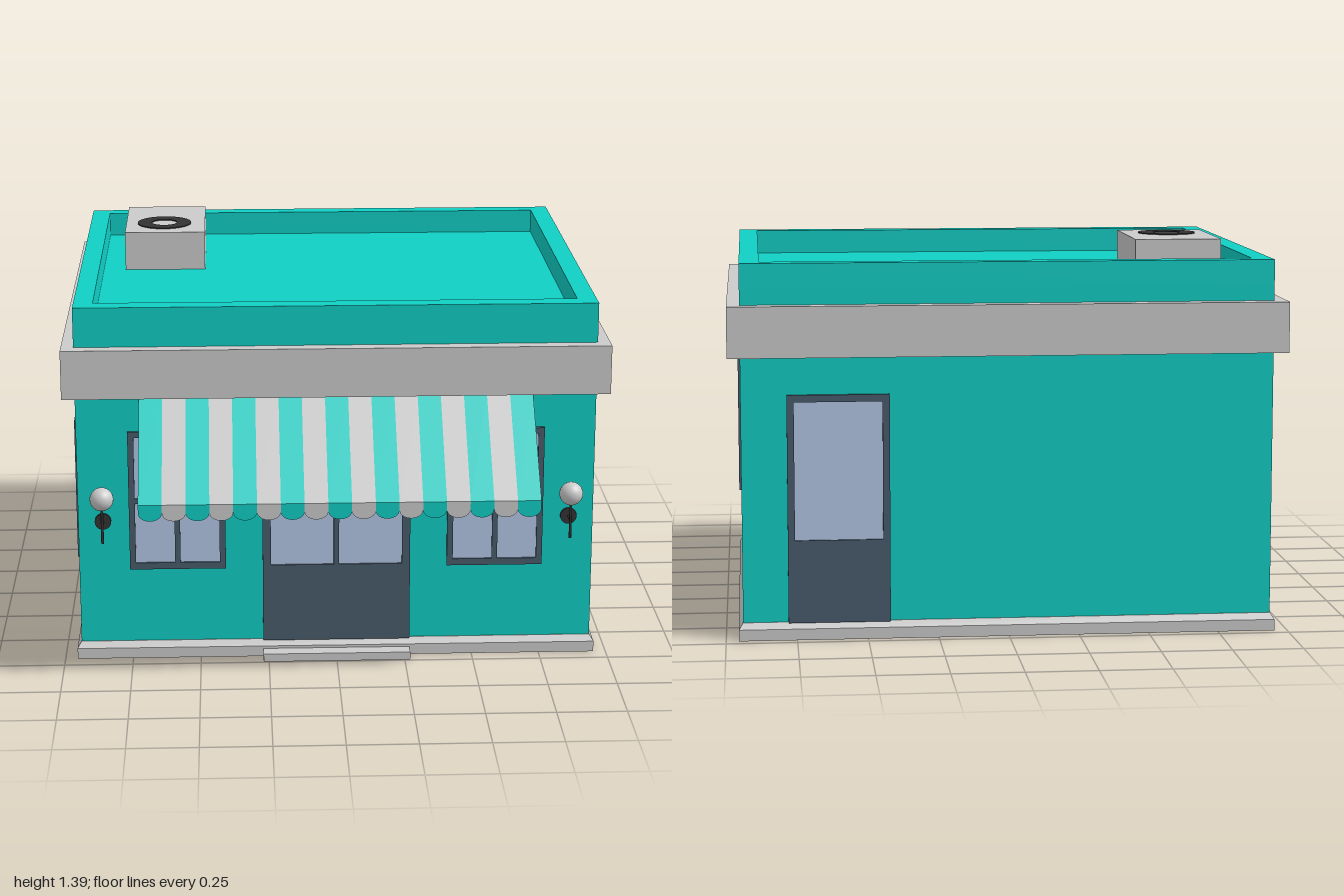
import * as THREE from 'three';

const mat = (color, extra = {}) => new THREE.MeshStandardMaterial({ color, ...extra });
const teal = mat(0x10cfc5);
const grey = mat(0xcccccc);
const frameMat = mat(0x485c6c);
const glassMat = mat(0xb4c8e8);
const black = mat(0x333333);
const clothTeal = mat(0x10cfc5, { side: THREE.DoubleSide });
const clothGrey = mat(0xcccccc, { side: THREE.DoubleSide });

function add(parent, name, geometry, material, x = 0, y = 0, z = 0) {
  const mesh = new THREE.Mesh(geometry, material);
  mesh.name = name;
  mesh.position.set(x, y, z);
  parent.add(mesh);
  return mesh;
}

// Box given by its limits
function block(parent, name, material, x0, x1, y0, y1, z0, z1) {
  return add(parent, name, new THREE.BoxGeometry(x1 - x0, y1 - y0, z1 - z0), material,
    (x0 + x1) / 2, (y0 + y1) / 2, (z0 + z1) / 2);
}

function rect(Type, x0, x1, y0, y1) {
  const p = new Type();
  p.moveTo(x0, y0).lineTo(x1, y0).lineTo(x1, y1).lineTo(x0, y1).closePath();
  return p;
}

// Frame in the XY plane with pane openings and glass; faces +z
function framed(name, width, y0, y1, panes) {
  const g = new THREE.Group();
  g.name = name;
  const shape = rect(THREE.Shape, -width / 2, width / 2, y0, y1);
  panes.forEach((p) => {
    shape.holes.push(rect(THREE.Path, ...p));
    block(g, 'glass', glassMat, p[0], p[1], p[2], p[3], -0.005, 0.006);
  });
  add(g, 'frame', new THREE.ExtrudeGeometry(shape, { depth: 0.013, bevelEnabled: false }), frameMat);
  return g;
}

// Four-pane window
function makeWindow(name, width) {
  const a = width / 2 - 0.022, m = 0.01, panes = [];
  for (const [x0, x1] of [[-a, -m], [m, a]]) {
    for (const [y0, y1] of [[0.37, 0.597], [0.617, 0.848]]) panes.push([x0, x1, y0, y1]);
  }
  return framed(name, width, 0.345, 0.87, panes);
}

// Striped awning with a scalloped valance
function makeAwning() {
  const g = new THREE.Group();
  g.name = 'awning';
  const n = 17, w = 1.42 / n;
  const drop = 0.3, reach = 0.33;
  const slope = new THREE.PlaneGeometry(w, Math.hypot(drop, reach));
  slope.rotateX(-Math.atan2(reach, drop));
  const flap = new THREE.Shape();
  flap.moveTo(-w / 2, 0).lineTo(-w / 2, -0.03);
  flap.absellipse(0, -0.03, w / 2, 0.03, Math.PI, 2 * Math.PI, false);
  flap.lineTo(w / 2, 0);
  const valance = new THREE.ShapeGeometry(flap, 10);
  for (let i = 0; i < n; i++) {
    const x = -0.71 + (i + 0.5) * w;
    const cloth = i % 2 ? clothGrey : clothTeal;
    add(g, 'awningStripe', slope, cloth, x, 0.85, 0.67 + reach / 2);
    add(g, 'awningScallop', valance, cloth, x, 0.7, 1.0);
  }
  return g;
}

// Globe lamp on a wall bracket
function makeLamp(x) {
  const g = new THREE.Group();
  g.name = 'wallLamp';
  add(g, 'globe', new THREE.SphereGeometry(0.043, 24, 16), grey, 0, 0.635, 0.735);
  add(g, 'post', new THREE.CylinderGeometry(0.005, 0.005, 0.14, 8), black, 0, 0.535, 0.735);
  add(g, 'arm', new THREE.CylinderGeometry(0.004, 0.004, 0.07, 8), black, 0, 0.53, 0.7).rotation.x = Math.PI / 2;
  add(g, 'wallPlate', new THREE.CylinderGeometry(0.03, 0.03, 0.012, 20), black, 0, 0.53, 0.675).rotation.x = Math.PI / 2;
  g.position.x = x;
  return g;
}

// Rooftop cooling unit
function makeCooler() {
  const g = new THREE.Group();
  g.name = 'roofCooler';
  block(g, 'coolerBox', grey, -0.785, -0.475, 1.235, 1.388, -0.74, -0.27);
  const ring = new THREE.Shape();
  ring.absarc(0, 0, 0.105, 0, Math.PI * 2);
  const hole = new THREE.Path();
  hole.absarc(0, 0, 0.05, 0, Math.PI * 2, true);
  ring.holes.push(hole);
  add(g, 'fanRing', new THREE.ExtrudeGeometry(ring, { depth: 0.005, bevelEnabled: false, curveSegments: 24 }),
    black, -0.635, 1.387, -0.435).rotation.x = -Math.PI / 2;
  for (const x of [-0.552, -0.52]) {
    const path = new THREE.CatmullRomCurve3([
      new THREE.Vector3(x, 1.3, -0.73), new THREE.Vector3(x, 1.3, -0.775),
      new THREE.Vector3(x, 1.285, -0.797), new THREE.Vector3(x, 1.235, -0.8)]);
    add(g, 'pipe', new THREE.TubeGeometry(path, 12, 0.015, 10), black);
  }
  return g;
}

export function createModel() {
  const model = new THREE.Group();
  model.name = 'shop';

  // Walls, flat roof and parapet
  block(model, 'walls', teal, -0.94, 0.94, 0.02, 1.24, -0.945, 0.67);
  const parapet = rect(THREE.Shape, -0.94, 0.94, -0.67, 0.945);
  parapet.holes.push(rect(THREE.Path, -0.87, 0.87, -0.6, 0.88));
  add(model, 'parapet', new THREE.ExtrudeGeometry(parapet, { depth: 0.09, bevelEnabled: false }),
    teal, 0, 1.24, 0).rotation.x = -Math.PI / 2;

  // Cornice band around the walls
  const band = rect(THREE.Shape, -0.985, 0.985, -0.72, 1.0);
  band.holes.push(rect(THREE.Path, -0.935, 0.935, -0.665, 0.94));
  add(model, 'corniceBand', new THREE.ExtrudeGeometry(band, { depth: 0.18, bevelEnabled: false }),
    grey, 0, 1.005, 0).rotation.x = -Math.PI / 2;

  // Plinth with its top edge sloped inward
  block(model, 'plinth', grey, -0.955, 0.955, 0, 0.04, -0.965, 0.69);
  const bevel = new THREE.BoxGeometry(1.91, 0.022, 1.655).toNonIndexed();
  const p = bevel.attributes.position;
  for (let i = 0; i < p.count; i++) {
    if (p.getY(i) > 0) p.setXYZ(i, p.getX(i) * 0.985, p.getY(i), p.getZ(i) * 0.978);
  }
  bevel.computeVertexNormals();
  add(model, 'plinthBevel', bevel, grey, 0, 0.051, -0.1375);
  block(model, 'doorStep', grey, -0.27, 0.27, 0, 0.03, 0.6, 0.745);

  // Front and side windows
  for (const s of [-1, 1]) {
    const front = makeWindow('frontWindow', 0.35);
    front.position.set(s * 0.58, 0, 0.67);
    const side = makeWindow('sideWindow', 0.38);
    side.position.set(s * 0.94, 0, 0.345);
    side.rotation.y = s * Math.PI / 2;
    model.add(front, side, makeLamp(s * 0.85));
  }

  // Double front door and single back door
  const door = framed('frontDoor', 0.54, 0.06, 0.87,
    [[-0.24, -0.01, 0.355, 0.848], [0.01, 0.24, 0.355, 0.848]]);
  door.position.z = 0.67;
  const backDoor = framed('backDoor', 0.36, 0.06, 0.87, [[-0.155, 0.155, 0.355, 0.845]]);
  backDoor.position.set(0.6, 0, -0.945);
  backDoor.rotation.y = Math.PI;
  model.add(door, backDoor, makeAwning(), makeCooler());

  return model;
}
